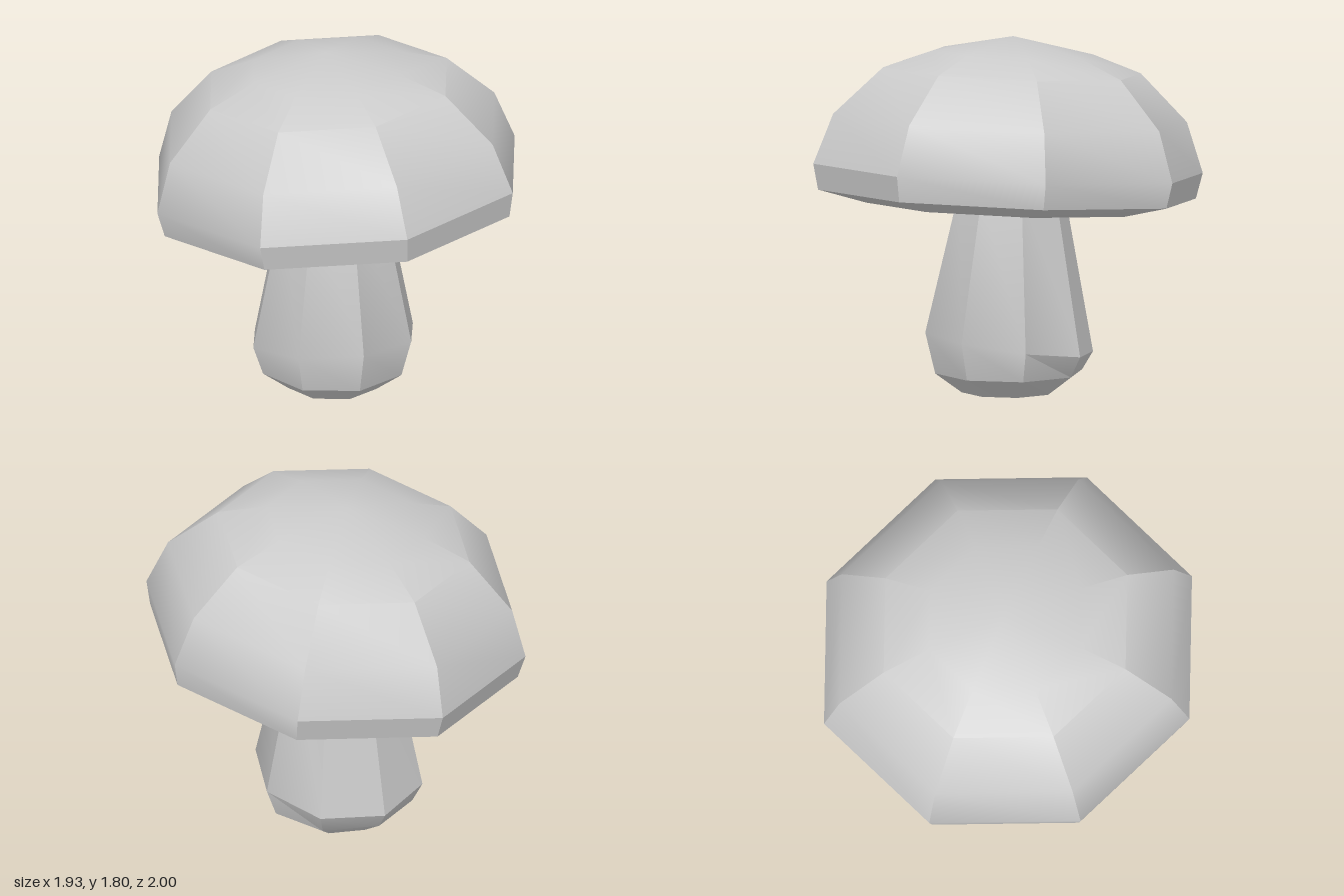
import * as THREE from 'three';
import { toCreasedNormals } from 'three/addons/utils/BufferGeometryUtils.js';

const SIDES = 8;
const CREASE = THREE.MathUtils.degToRad(30);

// Eight-sided turned form; profile is [radius, height] from bottom to top.
function turned(profile) {
  return new THREE.LatheGeometry(profile.map(([r, y]) => new THREE.Vector2(r, y)), SIDES);
}

function makeMesh(name, geometry) {
  const material = new THREE.MeshStandardMaterial({ color: 0xcccccc });
  const mesh = new THREE.Mesh(toCreasedNormals(geometry, CREASE), material);
  mesh.name = name;
  return mesh;
}

export function createModel() {
  const group = new THREE.Group();
  group.name = 'mushroom';

  // Stem: chamfered foot, bulge, then a taper into the cap
  const stemGeo = turned([[0, 0], [0.24, 0], [0.377, 0.1], [0.43, 0.25], [0.27, 1.02], [0, 1.02]]);
  const pos = stemGeo.attributes.position;
  for (let i = 0; i < pos.count; i++) {
    const y = pos.getY(i);
    const z = pos.getZ(i);
    // the bulge ring slopes up towards the front
    if (Math.abs(y - 0.25) < 0.01) pos.setY(i, y + 0.14 * z);
    pos.setX(i, pos.getX(i) - 0.018 + 0.01 * y);
    pos.setZ(i, z - 0.005 - 0.013 * y);
  }
  group.add(makeMesh('stem', stemGeo));

  // Cap: heights are measured from the widest ring, which is the tilt pivot
  const capGeo = turned([
    [0, -0.175], [0.72, -0.19], [0.97, -0.13], [1, 0],
    [0.908, 0.255], [0.662, 0.495], [0.413, 0.585], [0, 0.668],
  ]);
  capGeo.scale(0.966, 1, 1);
  const cap = makeMesh('cap', capGeo);
  cap.position.set(-0.003, 1.135, 0);
  cap.rotation.set(-0.053, 0, 0.062);
  group.add(cap);

  return group;
}
